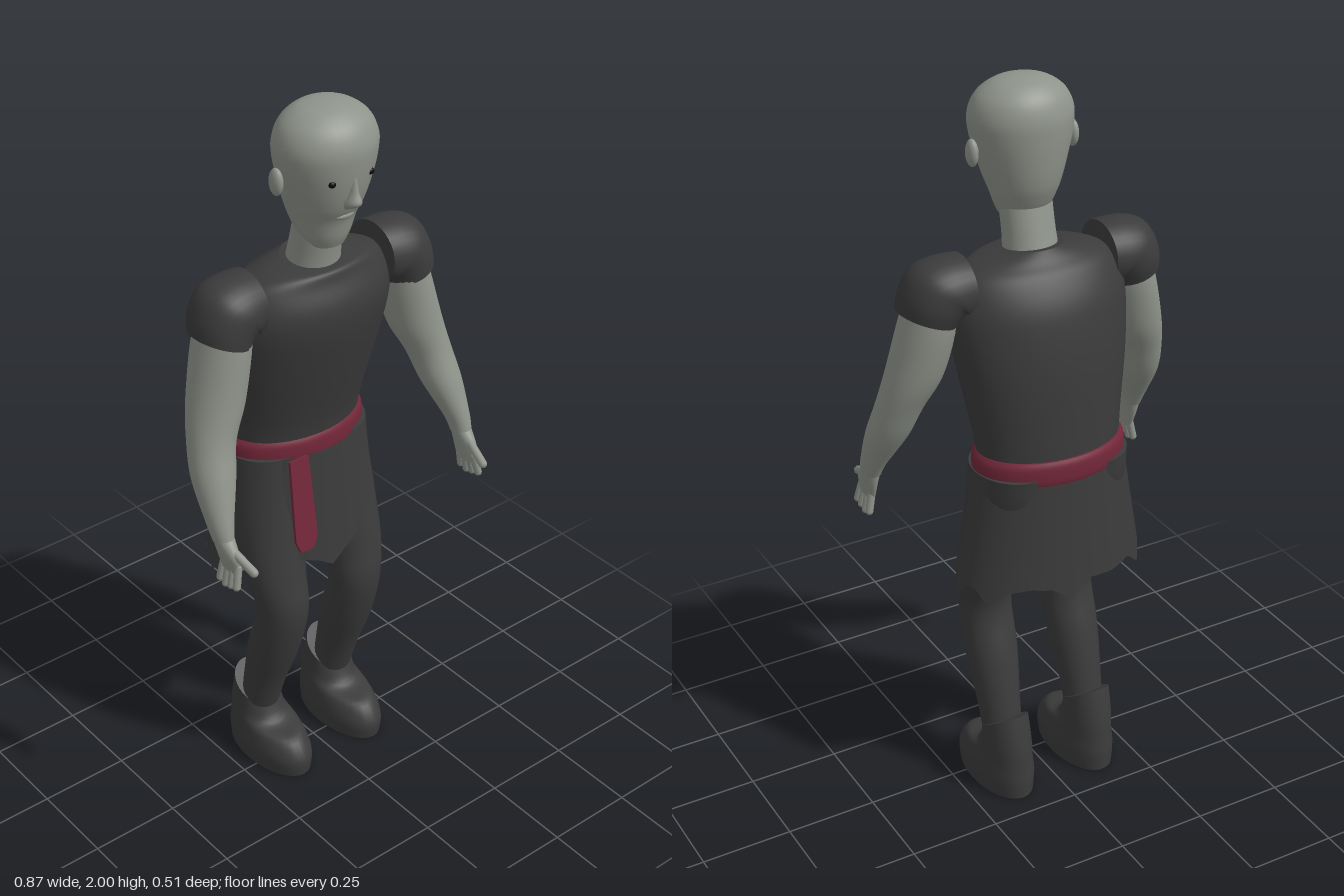
import * as THREE from 'three';

const mat = (name, color, side = THREE.FrontSide) => {
  const m = new THREE.MeshStandardMaterial({ color, side });
  m.name = name;
  return m;
};

// Catmull-Rom blend of two neighbouring cross-sections
function blend(list, u) {
  const i = Math.min(Math.floor(u), list.length - 2), t = u - i;
  const p = (k) => list[Math.max(0, Math.min(list.length - 1, k))];
  const [a, b, c, d] = [p(i - 1), p(i), p(i + 1), p(i + 2)];
  return b.map((v, k) => 0.5 * (2 * v + (c[k] - a[k]) * t
    + (2 * a[k] - 5 * v + 4 * c[k] - d[k]) * t * t
    + (3 * v - a[k] - 3 * c[k] + d[k]) * t * t * t));
}

// Smooth capped body through elliptical sections, listed bottom to top:
// [x, y, z, radiusX, radiusZ, tiltX, tiltZ]
function loft(sections, side = 1, steps = 5, n = 32) {
  const list = sections.map((s) => [...s, 0, 0].slice(0, 7));
  const rows = (list.length - 1) * steps, pos = [], index = [];
  const v = new THREE.Vector3(), X = new THREE.Vector3(1, 0, 0), Z = new THREE.Vector3(0, 0, 1);
  const ring = (s) => {
    for (let j = 0; j < n; j++) {
      const a = (j / n) * Math.PI * 2;
      v.set(s[3] * Math.cos(a), 0, s[4] * Math.sin(a));
      v.applyAxisAngle(X, s[5]).applyAxisAngle(Z, s[6] * side);
      pos.push(v.x + s[0] * side, v.y + s[1], v.z + s[2]);
    }
  };
  for (let i = 0; i <= rows; i++) ring(blend(list, i / steps));
  for (let i = 0; i < rows; i++) {
    for (let j = 0; j < n; j++) {
      const a = i * n + j, b = i * n + (j + 1) % n;
      index.push(a, a + n, b, b, a + n, b + n);
    }
  }
  // End caps with their own vertices, so the rims stay sharp
  [list[0], list[list.length - 1]].forEach((s, top) => {
    const start = pos.length / 3;
    ring(s);
    pos.push(s[0] * side, s[1], s[2]);
    for (let j = 0; j < n; j++) {
      const a = start + j, b = start + (j + 1) % n;
      index.push(start + n, top ? b : a, top ? a : b);
    }
  });
  const g = new THREE.BufferGeometry();
  g.setAttribute('position', new THREE.Float32BufferAttribute(pos, 3));
  g.setIndex(index);
  g.computeVertexNormals();
  return g;
}

// Hanging cloth on an elliptical cone; hem holds [angle, y] corners, angle 0 = front
function cloth(hem, grow) {
  const cols = 48, rows = 6;
  const g = new THREE.PlaneGeometry(1, 1, cols, rows), p = g.attributes.position;
  const first = hem[0][0], span = hem[hem.length - 1][0] - first;
  for (let i = 0; i < p.count; i++) {
    const a = first + (p.getX(i) + 0.5) * span;
    let k = 0;
    while (k < hem.length - 2 && a > hem[k + 1][0]) k++;
    const low = THREE.MathUtils.lerp(hem[k][1], hem[k + 1][1], (a - hem[k][0]) / (hem[k + 1][0] - hem[k][0]));
    const y = THREE.MathUtils.lerp(low, 1.02, p.getY(i) + 0.5), f = (1.02 - y) / 0.3;
    const r = a * Math.PI / 180;
    p.setXYZ(i, (0.212 + 0.05 * f) * Math.sin(r), y, -0.093 + (0.14 + grow + 0.022 * f) * Math.cos(r));
  }
  g.computeVertexNormals();
  return g;
}

export function createModel() {
  const root = new THREE.Group();
  root.name = 'standingFigure';
  const skin = mat('greySkin', 0x8f948b);
  const dark = mat('charcoalCloth', 0x3b3b3b);
  const drape = mat('charcoalDrape', 0x3b3b3b, THREE.DoubleSide);
  const red = mat('redSash', 0x74283a);
  const black = mat('blackEye', 0x080808);
  const add = (name, geometry, material) => {
    const m = new THREE.Mesh(geometry, material);
    m.name = name;
    root.add(m);
    return m;
  };
  const ball = (name, material, p, s) => {
    const m = add(name, new THREE.SphereGeometry(1, 20, 14), material);
    m.position.set(...p);
    m.scale.set(...s);
    return m;
  };
  const finger = (name, from, to, r) => {
    const a = new THREE.Vector3(...from), b = new THREE.Vector3(...to), d = b.clone().sub(a);
    const m = add(name, new THREE.CapsuleGeometry(r, d.length(), 4, 10), skin);
    m.position.copy(a).add(b).multiplyScalar(0.5);
    m.quaternion.setFromUnitVectors(new THREE.Vector3(0, 1, 0), d.normalize());
  };

  // Head and neck
  add('head', loft([
    [0, 1.63, 0.057, 0.045, 0.035], [0, 1.66, 0.04, 0.068, 0.065], [0, 1.71, 0.033, 0.088, 0.085],
    [0, 1.75, 0.037, 0.102, 0.101], [0, 1.8, 0.041, 0.117, 0.112], [0, 1.86, 0.044, 0.133, 0.119],
    [0, 1.91, 0.045, 0.136, 0.119], [0, 1.955, 0.043, 0.117, 0.102], [0, 1.985, 0.04, 0.079, 0.069],
    [0, 1.997, 0.038, 0.038, 0.034], [0, 2, 0.037, 0.002, 0.002],
  ]), skin);
  add('neck', loft([[0, 1.53, -0.01, 0.076, 0.07], [0, 1.6, 0.005, 0.07, 0.064], [0, 1.69, 0.025, 0.07, 0.06]]), skin);
  add('nose', loft([[0, 1.752, 0.13, 0.016, 0.012], [0, 1.772, 0.145, 0.022, 0.031],
    [0, 1.8, 0.145, 0.014, 0.022], [0, 1.845, 0.148, 0.008, 0.012]], 1, 4, 16), skin);
  ball('lips', skin, [0, 1.727, 0.117], [0.03, 0.011, 0.014]);

  // Tunic body
  add('tunic', loft([
    [0, 1.03, -0.095, 0.198, 0.132], [0, 1.12, -0.086, 0.206, 0.138], [0, 1.28, -0.06, 0.232, 0.154],
    [0, 1.4, -0.037, 0.246, 0.158], [0, 1.47, -0.026, 0.242, 0.148], [0, 1.53, -0.02, 0.214, 0.118],
    [0, 1.558, -0.01, 0.16, 0.098], [0, 1.573, -0.005, 0.085, 0.077, 0.12],
  ], 1, 5, 48), dark);

  // Sash around the waist, with its hanging end
  add('sash', loft([[0, 0.998, -0.095, 0.207, 0.139], [0, 1.015, -0.095, 0.213, 0.143],
    [0, 1.05, -0.095, 0.212, 0.143], [0, 1.067, -0.095, 0.202, 0.136]], 1, 4, 48), red);
  const end = new THREE.Shape();
  [[-0.032, 0], [-0.036, -0.24], [-0.022, -0.275], [0.022, -0.275], [0.036, -0.24], [0.028, 0]]
    .forEach(([x, y], i) => (i ? end.lineTo(x, y) : end.moveTo(x, y)));
  const tail = add('sashEnd', new THREE.ExtrudeGeometry(end, { depth: 0.009, bevelEnabled: false }), red);
  tail.position.set(-0.088, 1.02, 0.046);
  tail.rotation.x = -0.12;

  // Ragged skirt: front apron and wrap around the back
  add('frontApron', cloth([[-42, 0.8], [-35, 0.74], [-22, 0.71], [-10, 0.69], [0, 0.66], [10, 0.69],
    [20, 0.71], [36, 0.76], [42, 0.83]], 0.011), drape);
  add('backSkirt', cloth([[82, 0.72], [90, 0.66], [100, 0.71], [112, 0.7], [122, 0.66], [132, 0.7],
    [150, 0.71], [164, 0.7], [176, 0.66], [186, 0.71], [205, 0.7], [222, 0.71], [236, 0.66], [246, 0.71],
    [260, 0.71], [270, 0.66], [278, 0.72]], 0), drape);

  for (const s of [1, -1]) {
    const side = s > 0 ? 'left' : 'right';
    // Face details
    ball(side + 'Ear', skin, [s * 0.142, 1.826, 0.035], [0.015, 0.036, 0.022]);
    ball(side + 'Eye', black, [s * 0.059, 1.835, 0.144], [0.01, 0.009, 0.008]);

    // Arm, puffed sleeve and hand
    add(side + 'Arm', loft([
      [0.4, 0.955, 0.138, 0.026, 0.033], [0.397, 1.0, 0.12, 0.034, 0.041], [0.378, 1.1, 0.073, 0.056, 0.059],
      [0.357, 1.19, 0.04, 0.063, 0.064], [0.325, 1.28, 0.018, 0.075, 0.076], [0.296, 1.4, 0.004, 0.073, 0.084],
      [0.28, 1.48, 0, 0.065, 0.082],
    ], s), skin);
    add(side + 'Sleeve', loft([
      [0.297, 1.438, 0, 0.077, 0.089, 0, 0.32], [0.287, 1.47, -0.004, 0.085, 0.094, 0, 0.45],
      [0.265, 1.5, -0.006, 0.094, 0.096, 0, 0.78], [0.238, 1.506, -0.008, 0.09, 0.096, 0, 1.2],
      [0.2, 1.508, -0.01, 0.082, 0.09, 0, 1.57],
    ], s), dark);
    add(side + 'Palm', loft([[0.398, 0.88, 0.166, 0.013, 0.037], [0.4, 0.925, 0.156, 0.02, 0.043],
      [0.4, 0.968, 0.135, 0.026, 0.032]], s), skin);
    for (let i = 0; i < 4; i++) {
      const z = 0.138 + i * 0.019;
      finger(side + 'Finger', [s * 0.398, 0.9, z], [s * 0.41, 0.835 + 0.006 * Math.abs(i - 1), z + 0.004 * (i - 1)], 0.0105);
    }
    finger(side + 'Thumb', [s * 0.397, 0.935, 0.18], [s * 0.386, 0.905, 0.244], 0.012);

    // Leg and boot
    add(side + 'Leg', loft([
      [0.13, 0.1, -0.09, 0.052, 0.048], [0.13, 0.25, -0.055, 0.059, 0.06], [0.128, 0.4, -0.01, 0.072, 0.073],
      [0.127, 0.54, 0.025, 0.073, 0.07], [0.132, 0.65, 0.002, 0.084, 0.08], [0.12, 0.78, -0.038, 0.1, 0.098],
      [0.112, 0.92, -0.082, 0.107, 0.122], [0.108, 1.02, -0.095, 0.108, 0.125],
    ], s), dark);
    add(side + 'Boot', loft([
      [0.128, 0, -0.035, 0.08, 0.154], [0.128, 0.05, -0.035, 0.084, 0.155], [0.128, 0.1, -0.053, 0.076, 0.131],
      [0.129, 0.14, -0.086, 0.068, 0.092, 0.25], [0.13, 0.208, -0.091, 0.063, 0.075, 0.58],
    ], s), dark);
  }
  return root;
}
